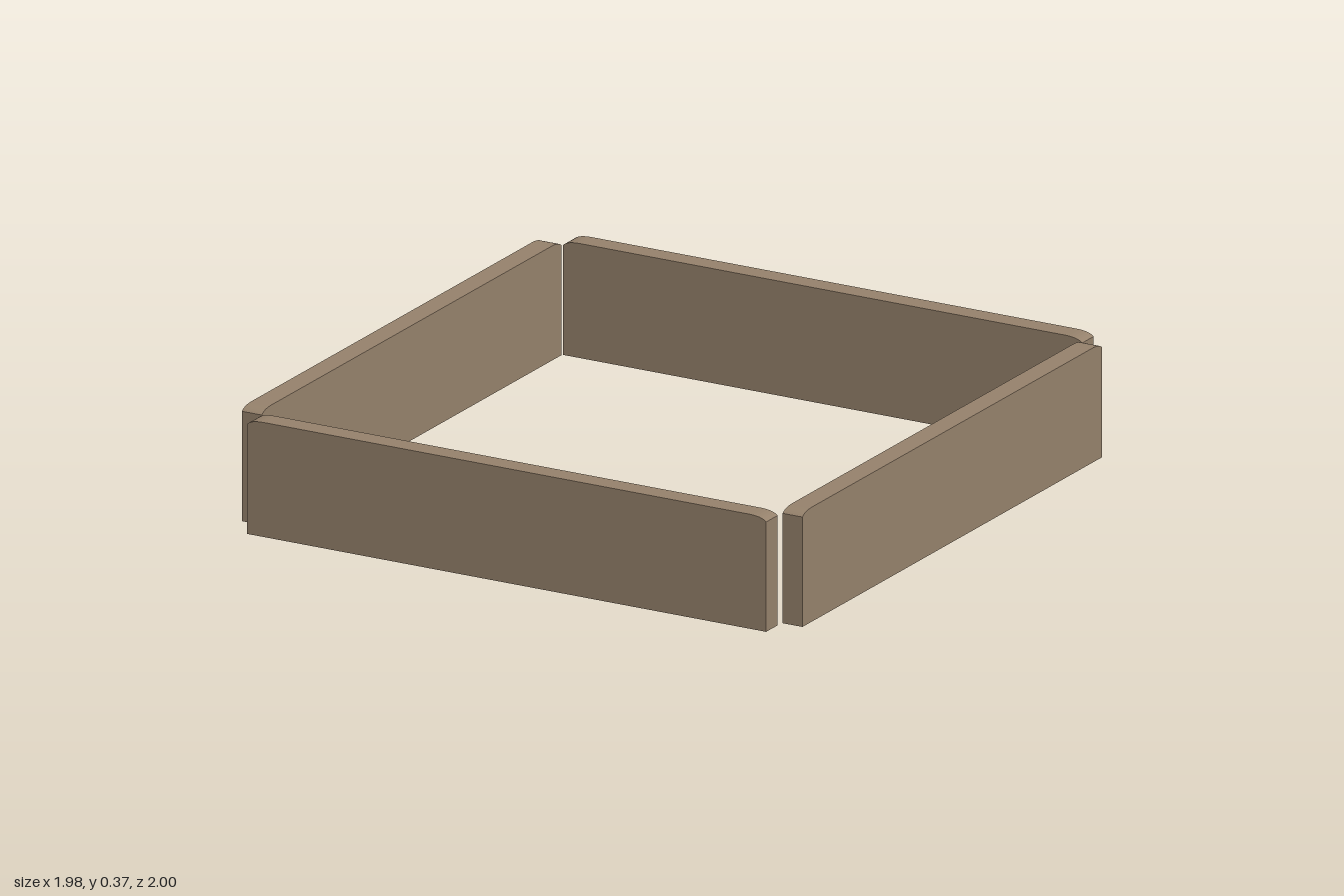
import * as THREE from 'three';

const LENGTH = 1.83, HEIGHT = 0.37, THICK = 0.07;

// Plank outline with softly eased upper corners, extruded through its thickness
function plankGeometry() {
  const h = LENGTH / 2, ease = 0.06, drop = 0.015;
  const s = new THREE.Shape();
  s.moveTo(-h, 0);
  s.lineTo(h, 0);
  s.lineTo(h, HEIGHT - drop);
  s.quadraticCurveTo(h - 0.015, HEIGHT, h - ease, HEIGHT);
  s.lineTo(-h + ease, HEIGHT);
  s.quadraticCurveTo(-h + 0.015, HEIGHT, -h, HEIGHT - drop);
  s.closePath();
  const g = new THREE.ExtrudeGeometry(s, { depth: THICK, bevelEnabled: false, curveSegments: 6 });
  return g.translate(0, 0, -THICK / 2);
}

export function createModel() {
  const group = new THREE.Group();
  group.name = 'plankFrame';
  const wood = new THREE.MeshStandardMaterial({ color: 0x96826c });
  const geometry = plankGeometry();

  // Four separate boards standing on edge; the side boards sit slightly rearward
  const boards = [
    ['frontPlank', 0, 0.965, 0],
    ['backPlank', 0, -0.965, Math.PI],
    ['leftPlank', 0.953, -0.01, Math.PI / 2],
    ['rightPlank', -0.953, -0.01, -Math.PI / 2],
  ];
  for (const [name, x, z, turn] of boards) {
    const plank = new THREE.Mesh(geometry, wood);
    plank.name = name;
    plank.position.set(x, 0, z);
    plank.rotation.y = turn;
    group.add(plank);
  }
  return group;
}
